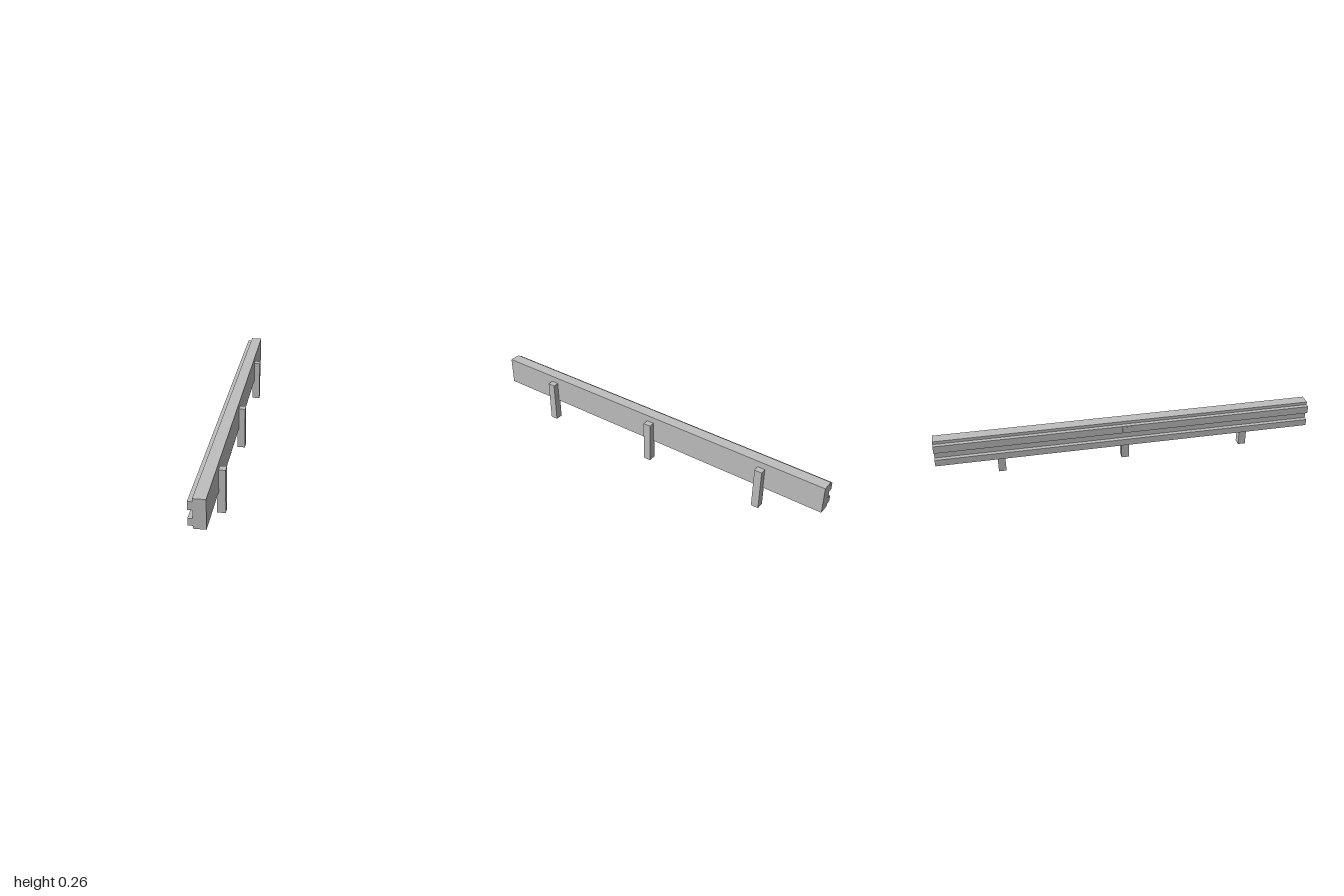
import * as THREE from 'three';

export function createModel() {
  const model = new THREE.Group();
  model.name = 'guardRail';

  const grey = new THREE.MeshStandardMaterial({ color: 0xbfbfbf });
  grey.name = 'grey';

  // Rail: one beam profile with two raised ridges on its right side
  const profile = new THREE.Shape([
    [0.025, 0.112], [0.025, 0.26], [-0.034, 0.26],
    [-0.034, 0.244], [-0.0565, 0.244], [-0.0565, 0.203], [-0.034, 0.203],
    [-0.034, 0.162], [-0.0565, 0.162], [-0.0565, 0.126], [-0.034, 0.126],
    [-0.034, 0.112],
  ].map(([x, y]) => new THREE.Vector2(x, y)));
  const railGeometry = new THREE.ExtrudeGeometry(profile, { depth: 2, bevelEnabled: false });
  railGeometry.translate(0, 0, -1);
  const rail = new THREE.Mesh(railGeometry, grey);
  rail.name = 'rail';
  model.add(rail);

  // Box spanning given x, y and z ranges
  function addBox(name, [x0, x1], [y0, y1], [z0, z1]) {
    const box = new THREE.Mesh(new THREE.BoxGeometry(x1 - x0, y1 - y0, z1 - z0), grey);
    box.position.set((x0 + x1) / 2, (y0 + y1) / 2, (z0 + z1) / 2);
    box.name = name;
    model.add(box);
  }

  // Three support posts, let slightly into the rail
  const postNames = ['backPost', 'middlePost', 'frontPost'];
  [-0.665, 0, 0.665].forEach((z, i) => {
    addBox(postNames[i], [0.016, 0.057], [0, 0.226], [z - 0.02, z + 0.02]);
  });

  // Thin plate in the middle of the upper ridge
  addBox('ridgePlate', [-0.0575, -0.055], [0.212, 0.237], [-0.028, 0.028]);

  return model;
}
